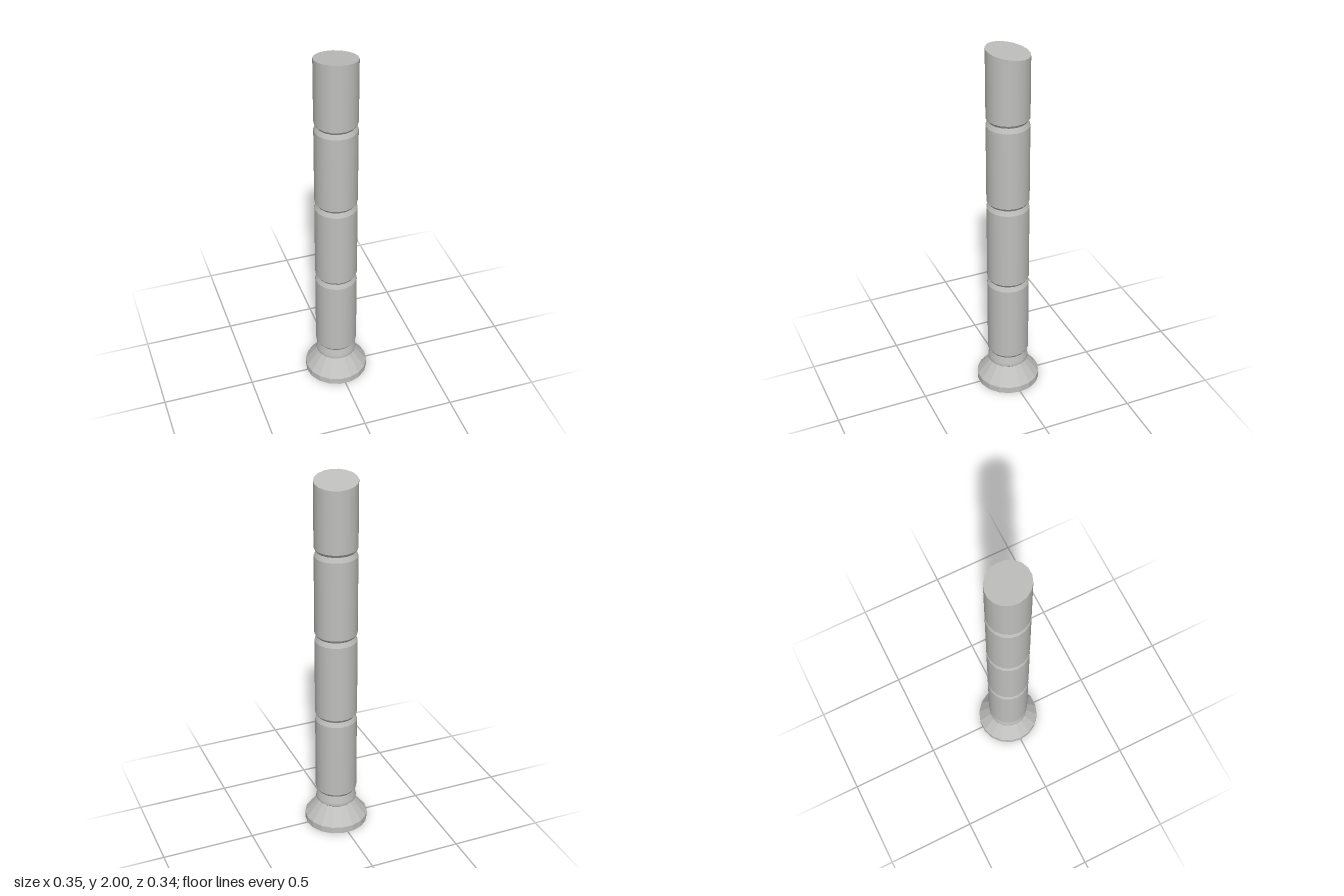
import * as THREE from 'three';

const SIDES = 18;
const R = 0.113;      // shaft radius
const GROOVE = 0.102; // radius at the bottom of a groove

export function createModel() {
  const model = new THREE.Group();
  model.name = 'bollard';
  const stone = new THREE.MeshStandardMaterial({ color: 0xbfbfbd });
  stone.name = 'grey stone';

  function add(name, geometry, parent = model) {
    const mesh = new THREE.Mesh(geometry, stone);
    mesh.name = name;
    parent.add(mesh);
    return mesh;
  }

  // Open tapered ring between two heights, with a corner on the x axis
  function ring(y0, r0, y1, r1, flat = false) {
    let g = new THREE.CylinderGeometry(r1, r0, y1 - y0, SIDES, 1, true, Math.PI / 2);
    g.translate(0, (y0 + y1) / 2, 0);
    if (flat) {
      g = g.toNonIndexed();
      g.computeVertexNormals();
    }
    return g;
  }

  // Slanted plane that cuts the top
  const cutHeight = (x, z) => 1.981 - 0.07 * x + 0.155 * z;
  function slant(g) {
    const p = g.attributes.position;
    for (let i = 0; i < p.count; i++) {
      if (p.getY(i) > 1.9) p.setY(i, cutHeight(p.getX(i), p.getZ(i)));
    }
    return g;
  }

  // Flared foot
  const foot = new THREE.Group();
  foot.name = 'foot';
  model.add(foot);
  const underside = new THREE.CircleGeometry(0.173, SIDES);
  underside.rotateX(Math.PI / 2);
  add('underside', underside, foot);
  add('footRim', ring(0, 0.173, 0.037, 0.173, true), foot);
  add('footFlare', ring(0.037, 0.173, 0.128, 0.1, true), foot);

  // Collar above the foot
  const collar = new THREE.Group();
  collar.name = 'collar';
  model.add(collar);
  add('collarUnderside', ring(0.128, 0.1, 0.138, 0.111), collar);
  add('collarBand', ring(0.138, 0.111, 0.152, 0.111), collar);
  add('collarTop', ring(0.152, 0.111, 0.195, GROOVE), collar);

  // Four shaft segments, chamfered into the grooves between them
  const step = 0.473;
  for (let i = 0; i < 4; i++) {
    const y = 0.195 + i * step;
    const last = i === 3;
    const segment = new THREE.Group();
    segment.name = 'shaftSegment' + (i + 1);
    model.add(segment);
    add('lowerChamfer', ring(y, GROOVE, y + 0.016, R), segment);
    if (last) {
      add('shaft', slant(ring(y + 0.016, R, 1.98, R)), segment);
    } else {
      add('shaft', ring(y + 0.016, R, y + step - 0.026, R), segment);
      add('upperChamfer', ring(y + step - 0.026, R, y + step, GROOVE), segment);
    }
  }

  // Slanted top face
  const top = new THREE.CircleGeometry(R, SIDES);
  top.rotateX(-Math.PI / 2);
  top.translate(0, 1.98, 0);
  slant(top);
  top.computeVertexNormals();
  add('topFace', top);

  return model;
}
